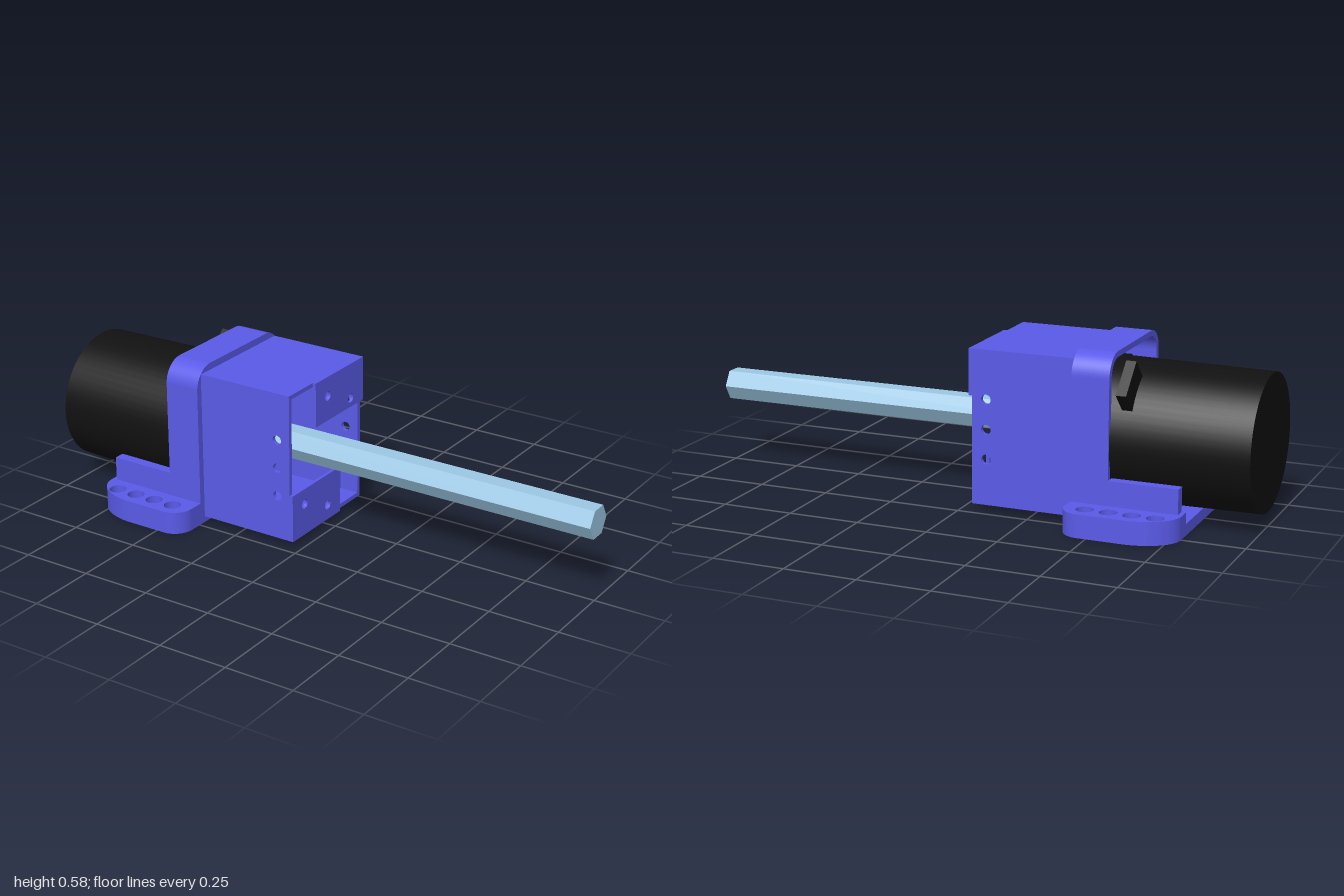
import * as THREE from 'three';

const blue = new THREE.MeshStandardMaterial({ color: 0x5a5ae8 });
const black = new THREE.MeshStandardMaterial({ color: 0x111111 });
const steel = new THREE.MeshStandardMaterial({ color: 0x9cc8e4 });
const AXIS_Y = 0.283;

function add(group, name, geometry, material) {
  const mesh = new THREE.Mesh(geometry, material);
  mesh.name = name;
  group.add(mesh);
  return mesh;
}

// Box given by its limits on each axis
function span(x0, x1, y0, y1, z0, z1) {
  return new THREE.BoxGeometry(x1 - x0, y1 - y0, z1 - z0)
    .translate((x0 + x1) / 2, (y0 + y1) / 2, (z0 + z1) / 2);
}

function rect(x0, x1, y0, y1) {
  return new THREE.Shape([[x0, y0], [x1, y0], [x1, y1], [x0, y1]].map(p => new THREE.Vector2(...p)));
}

function punch(shape, centres, r) {
  for (const [x, y] of centres) shape.holes.push(new THREE.Path().absarc(x, y, r, 0, Math.PI * 2, true));
  return shape;
}

const extrude = (shape, depth) =>
  new THREE.ExtrudeGeometry(shape, { depth, bevelEnabled: false, curveSegments: 20 });
// Drawn in (-z, y), extruded along x
const alongX = (shape, x0, x1) => extrude(shape, x1 - x0).rotateY(Math.PI / 2).translate(x0, 0, 0);
// Drawn in (x, -z), extruded along y
const alongY = (shape, y0, y1) => extrude(shape, y1 - y0).rotateX(-Math.PI / 2).translate(0, y0, 0);

// Rectangle with rounded top corners
function arch(T, w, y0, y1, r) {
  const s = new T();
  s.moveTo(-w, y0);
  s.lineTo(w, y0);
  s.lineTo(w, y1 - r);
  s.absarc(w - r, y1 - r, r, 0, Math.PI / 2, false);
  s.lineTo(-w + r, y1);
  s.absarc(-w + r, y1 - r, r, Math.PI / 2, Math.PI, false);
  s.lineTo(-w, y0);
  return s;
}

// Half outline of the foot, on the side of positive shape y
function footOutline(inner) {
  const s = new THREE.Shape();
  s.moveTo(-0.785, inner);
  s.lineTo(-0.4, inner);
  s.lineTo(-0.4, 0.295);
  s.absarc(-0.47, 0.295, 0.07, 0, Math.PI / 2, false);
  s.lineTo(-0.62, 0.365);
  s.absellipse(-0.62, 0.25, 0.165, 0.115, Math.PI / 2, Math.PI, false, 0);
  s.lineTo(-0.785, inner);
  return s;
}

export function createModel() {
  const model = new THREE.Group();

  // Mounting foot: thin floor, side flanges with counterbored holes, cradle walls
  const foot = new THREE.Group();
  foot.name = 'mountingFoot';
  model.add(foot);
  add(foot, 'footFloor', span(-0.785, -0.4, 0, 0.04, -0.205, 0.205), blue);
  const bolts = [-0.715, -0.635, -0.555, -0.475].map(x => [x, 0.305]);
  for (const side of [1, -1]) {
    const flange = new THREE.Group();
    flange.name = side > 0 ? 'frontFlange' : 'rearFlange';
    if (side > 0) flange.rotation.x = 0;
    const lower = alongY(punch(footOutline(0.205), bolts, 0.018), 0, 0.05);
    const upper = alongY(punch(footOutline(0.205), bolts, 0.03), 0.05, 0.08);
    for (const [g, name] of [[lower, 'flangeLower'], [upper, 'flangeCounterbore']]) {
      if (side > 0) {
        // mirror across z with the winding kept outward
        g.scale(1, 1, -1);
        const p = g.attributes.position, n = g.attributes.normal;
        for (let i = 0; i < p.count; i += 3) {
          for (const a of [p, n]) {
            const b = [a.getX(i + 1), a.getY(i + 1), a.getZ(i + 1)];
            a.setXYZ(i + 1, a.getX(i + 2), a.getY(i + 2), a.getZ(i + 2));
            a.setXYZ(i + 2, ...b);
          }
        }
        g.computeVertexNormals();
      }
      add(flange, name, g, blue);
    }
    const z = side * 0.224;
    add(flange, 'cradleWall', span(-0.77, -0.53, 0.08, 0.165, z - 0.019, z + 0.019), blue);
    foot.add(flange);
  }

  // Arched bracket around the motor, with a narrower front plate
  const rim = arch(THREE.Shape, 0.243, 0, 0.58, 0.08);
  rim.holes.push(arch(THREE.Path, 0.222, 0.04, 0.56, 0.06));
  add(model, 'bracketArch', alongX(rim, -0.53, -0.42), blue);
  const plate = arch(THREE.Shape, 0.243, 0, 0.58, 0.08);
  plate.holes.push(rect(-0.205, 0.205, 0.04, 0.54));
  add(model, 'bracketFrontPlate', alongX(plate, -0.42, -0.4), blue);

  // Square housing: top, bottom and two drilled side walls
  const housing = new THREE.Group();
  housing.name = 'housing';
  model.add(housing);
  add(housing, 'housingTop', span(-0.4, -0.04, 0.54, 0.555, -0.22, 0.22), blue);
  add(housing, 'housingBottom', span(-0.4, -0.04, 0.022, 0.038, -0.22, 0.22), blue);
  const sideHoles = [0.18, 0.283, 0.386].map(y => [-0.09, y]);
  for (const z of [0.205, -0.22]) {
    const wall = extrude(punch(rect(-0.4, -0.04, 0.038, 0.54), sideHoles, 0.017), 0.015);
    add(housing, 'housingSideWall', wall.translate(0, 0, z), blue);
  }

  // End tabs at opposite corners
  const upperTab = punch(rect(-0.077, 0.22, 0.395, 0.555), [[-0.003, 0.485], [0.14, 0.428]], 0.017);
  const lowerTab = punch(rect(-0.22, 0.075, 0.022, 0.193), [[-0.147, 0.137], [-0.005, 0.077]], 0.017);
  add(housing, 'upperEndTab', alongX(upperTab, -0.04, -0.028), blue);
  add(housing, 'lowerEndTab', alongX(lowerTab, -0.04, -0.028), blue);

  // Motor: slightly tapered can, square gearbox and slanted terminal
  const can = new THREE.CylinderGeometry(0.24, 0.233, 0.55, 64).rotateZ(-Math.PI / 2);
  add(model, 'motorCan', can.translate(-0.725, AXIS_Y, 0), black);
  add(model, 'gearbox', span(-0.45, -0.38, 0.083, 0.483, -0.198, 0.204), black);
  const terminal = add(model, 'terminal', new THREE.BoxGeometry(0.035, 0.09, 0.134), black);
  terminal.position.set(-0.58, AXIS_Y + 0.193, -0.193);
  terminal.rotation.x = -Math.PI / 4;

  // Hexagonal output shaft with corners towards front and back
  const shaft = new THREE.CylinderGeometry(0.058, 0.058, 1.4, 6).toNonIndexed();
  shaft.computeVertexNormals();
  add(model, 'hexShaft', shaft.rotateZ(-Math.PI / 2).translate(0.3, AXIS_Y, 0.003), steel);

  return model;
}
